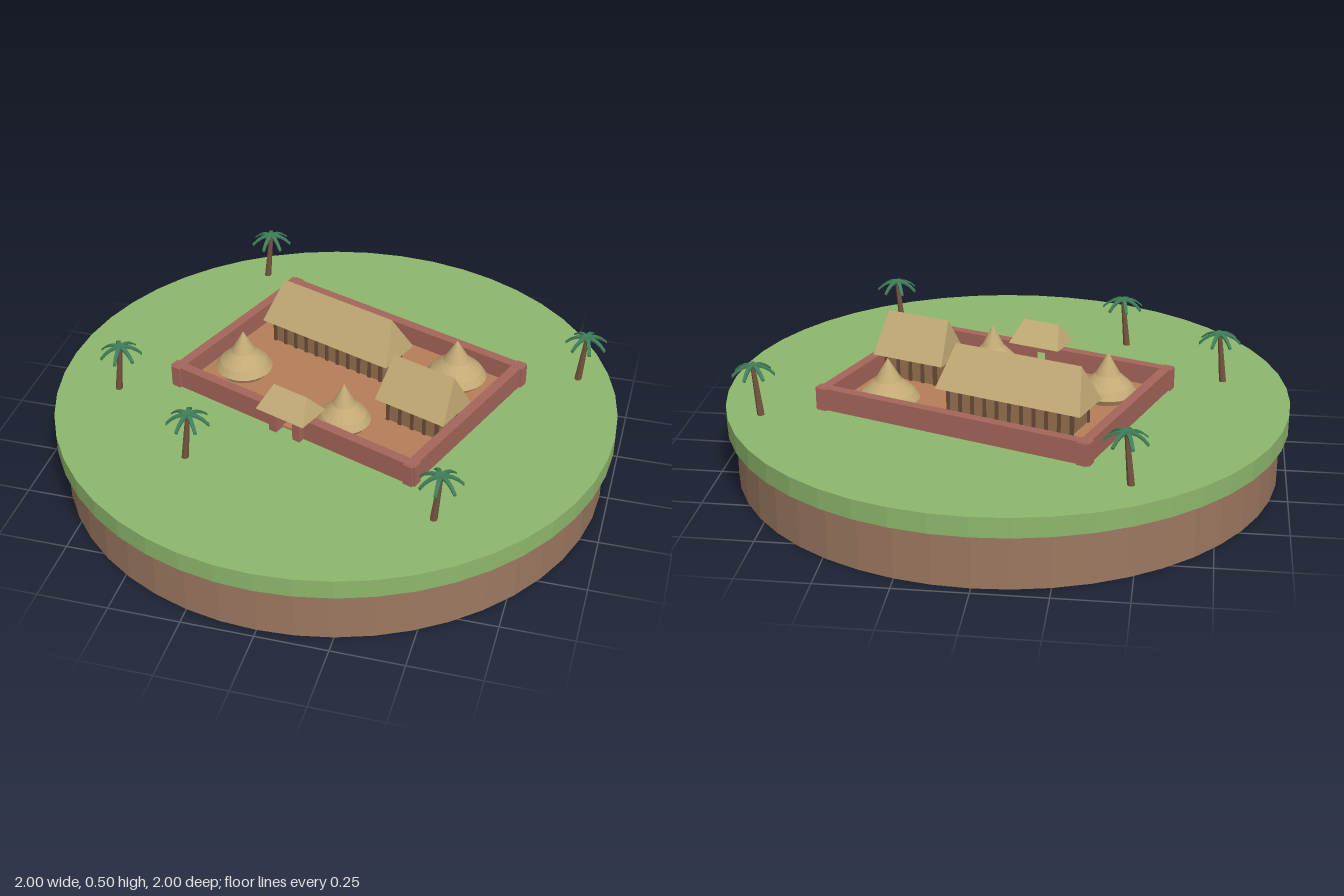
import * as THREE from 'three';

const mat = (name, color) => {
  const m = new THREE.MeshStandardMaterial({ color, flatShading: true });
  m.name = name;
  return m;
};

export function createModel() {
  const M = {
    earth: mat('earth', 0x9c7860),
    grass: mat('grass', 0x8eb76c),
    clay: mat('clay floor', 0xb57e59),
    wall: mat('red mud wall', 0xa5665a),
    thatch: mat('thatch', 0xc2aa75),
    timber: mat('timber wall', 0x96714f),
    post: mat('dark post', 0x6b4c38),
    trunk: mat('palm trunk', 0x76543f),
    frond: mat('palm frond', 0x3f7d58),
  };
  const root = new THREE.Group();
  const GROUND = 0.265;

  const add = (parent, name, geo, material, x = 0, y = 0, z = 0) => {
    const m = new THREE.Mesh(geo, material);
    m.name = name;
    m.position.set(x, y, z);
    parent.add(m);
    return m;
  };
  // box standing on height y
  const box = (parent, name, w, h, d, material, x, y, z) =>
    add(parent, name, new THREE.BoxGeometry(w, h, d), material, x, y + h / 2, z);
  const group = (parent, name, x, y, z) => {
    const g = new THREE.Group();
    g.name = name;
    g.position.set(x, y, z);
    parent.add(g);
    return g;
  };

  // Round island
  add(root, 'earthBase', new THREE.CylinderGeometry(0.97, 0.97, 0.2, 48), M.earth, 0, 0.1, 0);
  add(root, 'grassDisc', new THREE.CylinderGeometry(1, 1, GROUND - 0.195, 48), M.grass, 0, (GROUND + 0.195) / 2, 0);

  // Walled compound, turned on the island
  const yard = group(root, 'compound', 0.027, GROUND, -0.08);
  yard.rotation.y = THREE.MathUtils.degToRad(-20);
  const L = 1.045, D = 0.735, T = 0.036, H = 0.08, GAP = 0.075;
  box(yard, 'yardFloor', L - 0.03, 0.008, D - 0.03, M.clay, 0, 0, 0);
  box(yard, 'backWall', L, H, T, M.wall, 0, 0, -(D - T) / 2);
  for (const s of [-1, 1]) {
    const len = (L - GAP) / 2;
    box(yard, 'frontWall', len, H, T, M.wall, s * (GAP + len) / 2, 0, (D - T) / 2);
    box(yard, 'sideWall', T, H - 0.001, D + 0.016, M.wall, s * ((L - T) / 2 - 0.008), 0, 0);
  }

  // Hipped roof: eave rectangle rising to a shorter ridge
  const hipRoof = (len, wid, ridge, h) => {
    const l = len / 2, w = wid / 2, r = ridge / 2;
    const p = [[-l, 0, w], [l, 0, w], [l, 0, -w], [-l, 0, -w], [-r, h, 0], [r, h, 0]];
    const faces = [[0, 1, 5], [0, 5, 4], [2, 3, 4], [2, 4, 5], [1, 2, 5], [3, 0, 4], [0, 3, 2], [0, 2, 1]];
    const g = new THREE.BufferGeometry();
    g.setAttribute('position', new THREE.Float32BufferAttribute(faces.flat().flatMap(i => p[i]), 3));
    g.computeVertexNormals();
    return g;
  };

  // Long houses with timber posts
  const hall = (name, x, z, len, wid, ridge) => {
    const g = group(yard, name, x, 0, z);
    const wl = len - 0.08, ww = wid - 0.05, wh = 0.1;
    box(g, 'hallWalls', wl, wh, ww, M.timber, 0, 0, 0);
    const n = Math.round(wl / 0.045);
    for (let i = 0; i <= n; i++)
      for (const s of [-1, 1])
        box(g, 'hallPost', 0.012, wh, 0.012, M.post, -wl / 2 + (wl * i) / n, 0, s * ww / 2);
    add(g, 'hallRoof', hipRoof(len, wid, ridge, 0.145), M.thatch, 0, 0.092, 0);
  };
  hall('longHall', -0.143, -0.129, 0.55, 0.178, 0.475);
  hall('shortHall', 0.345, 0.048, 0.28, 0.178, 0.245);

  // Round huts with flared thatch
  const hut = (x, z, r) => {
    const g = group(yard, 'roundHut', x, 0, z);
    add(g, 'hutWall', new THREE.CylinderGeometry(r * 0.8, r * 0.8, 0.06, 24), M.timber, 0, 0.03, 0);
    const profile = [[r * 0.75, 0.035], [r, 0.032], [r * 0.84, 0.058], [r * 0.43, 0.098], [0, 0.178]];
    add(g, 'hutRoof', new THREE.LatheGeometry(profile.map(p => new THREE.Vector2(...p)), 24), M.thatch);
  };
  hut(0.31, -0.23, 0.11);
  hut(-0.35, 0.165, 0.103);
  hut(0.134, 0.223, 0.095);

  // Gatehouse over the gap in the front wall
  const gate = group(yard, 'gatehouse', 0, 0, 0.352);
  for (const s of [-1, 1])
    box(gate, 'gatePillar', 0.03, 0.095, 0.08, M.wall, s * 0.05, 0, 0);
  box(gate, 'gateLintel', 0.07, 0.03, 0.078, M.wall, 0, 0.065, 0);
  add(gate, 'gateRoof', hipRoof(0.2, 0.135, 0.14, 0.077), M.thatch, 0, 0.092, 0);

  // Palms: leaning trunk and drooping fronds
  const frondGeo = new THREE.BoxGeometry(0.075, 0.007, 0.017, 4, 1, 1);
  frondGeo.translate(0.0375, 0, 0);
  const fp = frondGeo.attributes.position;
  for (let i = 0; i < fp.count; i++) {
    const x = fp.getX(i);
    fp.setY(i, fp.getY(i) + 0.3 * x - 9 * x * x);
    fp.setZ(i, fp.getZ(i) * (1 - 5 * x));
  }
  frondGeo.computeVertexNormals();
  const palm = (x, z, turn) => {
    const g = group(root, 'palm', x, GROUND, z);
    const lean = 0.018, h = 0.18;
    const trunk = new THREE.CylinderGeometry(0.008, 0.013, h, 7);
    trunk.translate(0, h / 2, 0);
    const tp = trunk.attributes.position;
    for (let i = 0; i < tp.count; i++) tp.setX(i, tp.getX(i) - lean * (1 - tp.getY(i) / h));
    add(g, 'palmTrunk', trunk, M.trunk);
    for (let i = 0; i < 7; i++)
      add(g, 'palmFrond', frondGeo, M.frond, 0, h, 0).rotation.y = turn + (i * Math.PI * 2) / 7;
  };
  palm(-0.46, -0.72, 0.1);
  palm(0.84, -0.325, 0.5);
  palm(-0.745, 0.17, 0.3);
  palm(-0.38, 0.49, 0);
  palm(0.507, 0.59, 0.2);

  return root;
}
